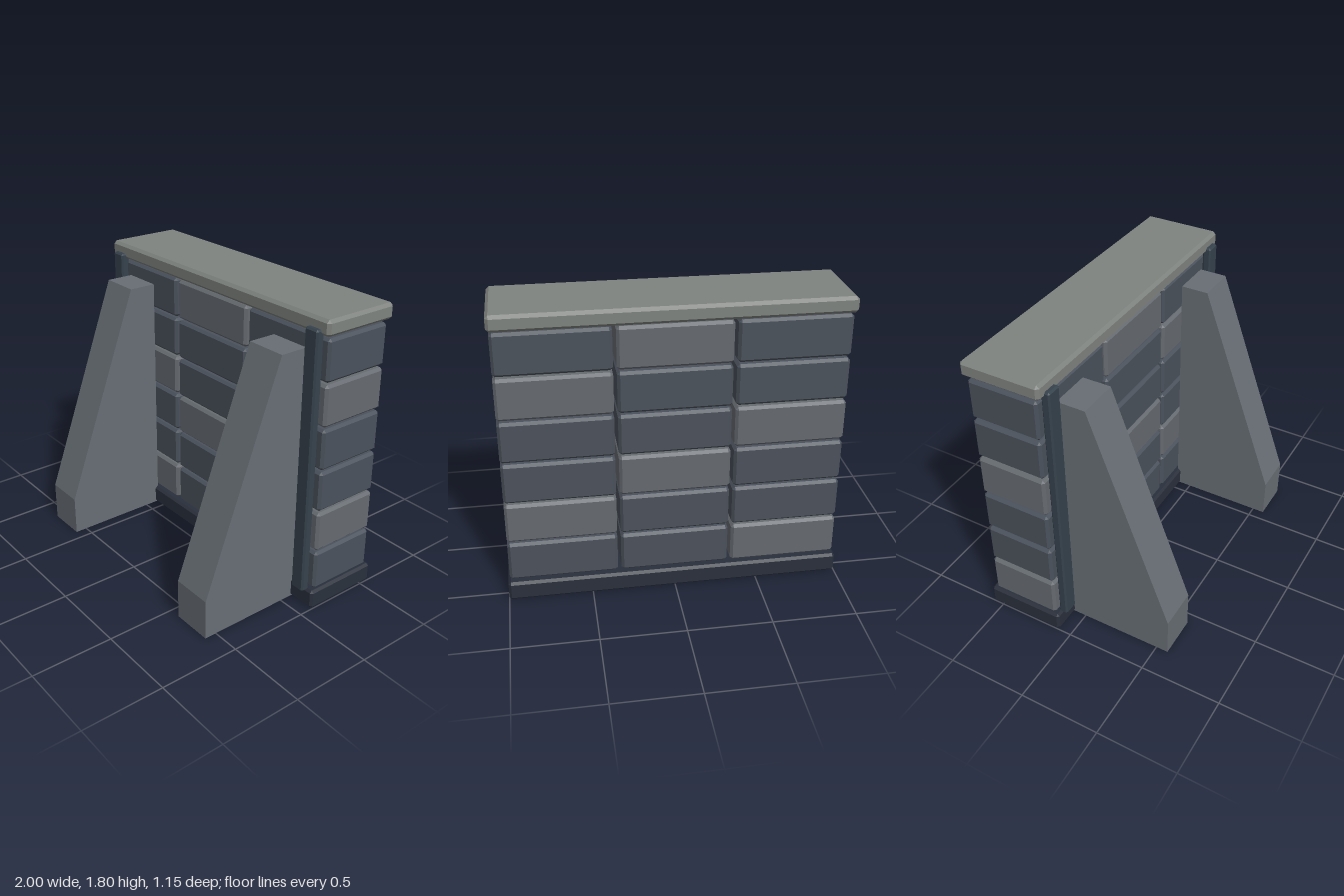
import * as THREE from 'three';
import { ConvexGeometry } from 'three/addons/geometries/ConvexGeometry.js';

const paint = (color) => new THREE.MeshStandardMaterial({ color });
const darkStone = paint(0x4b525c);
const lightStone = paint(0x666b71);
const capStone = paint(0x7f837f);
const baseStone = paint(0x2a303c);
const postMetal = paint(0x36424d);
const buttressStone = paint(0x686e75);

// Box with every edge cut by a flat chamfer, given by its min and max corners
function chamferBox(name, min, max, c, material) {
  const half = max.map((v, i) => (v - min[i]) / 2);
  const points = [];
  for (const sx of [-1, 1]) for (const sy of [-1, 1]) for (const sz of [-1, 1]) {
    for (let full = 0; full < 3; full++) {
      const [x, y, z] = half.map((h, i) => (i === full ? h : h - c));
      points.push(new THREE.Vector3(sx * x, sy * y, sz * z));
    }
  }
  const mesh = new THREE.Mesh(new ConvexGeometry(points), material);
  mesh.position.set(...max.map((v, i) => (v + min[i]) / 2));
  mesh.name = name;
  return mesh;
}

export function createModel() {
  const model = new THREE.Group();
  model.name = 'buttressedWall';

  // Base plinth and coping slab
  model.add(chamferBox('base', [-1, 0, -0.575], [1, 0.12, -0.08], 0.015, baseStone));
  model.add(chamferBox('coping', [-1, 1.705, -0.575], [1, 1.8, -0.08], 0.018, capStone));

  // Six courses of three blocks, a light one stepping across each course
  const blocks = new THREE.Group();
  blocks.name = 'blocks';
  for (let row = 0; row < 6; row++) {
    for (let col = 0; col < 3; col++) {
      const x = (col - 1) * 0.666;
      const y = 0.125 + row * 0.263;
      const material = (row + col) % 3 === 0 ? lightStone : darkStone;
      blocks.add(chamferBox('block', [x - 0.323, y, -0.545], [x + 0.323, y + 0.25, -0.105], 0.016, material));
    }
  }
  model.add(blocks);

  // Sloping buttress profile: shape x is depth (z), shape y is height
  const profile = new THREE.Shape([
    [-0.1, 0], [0.575, 0], [0.575, 0.25], [0.075, 1.6], [-0.1, 1.6],
  ].map(([z, y]) => new THREE.Vector2(z, y)));
  const buttressGeometry = new THREE.ExtrudeGeometry(profile, { depth: 0.255, bevelEnabled: false });
  buttressGeometry.translate(0, 0, -0.1275).rotateY(-Math.PI / 2);

  // A buttress and an edge post on each side
  for (const [side, label] of [[1, 'left'], [-1, 'right']]) {
    const buttress = new THREE.Mesh(buttressGeometry, buttressStone);
    buttress.name = label + 'Buttress';
    buttress.position.x = side * 0.698;
    model.add(buttress);

    const x = side * 0.9;
    model.add(chamferBox(label + 'Post', [x - 0.048, 0.105, -0.105], [x + 0.048, 1.74, -0.05], 0.01, postMetal));
  }

  return model;
}
